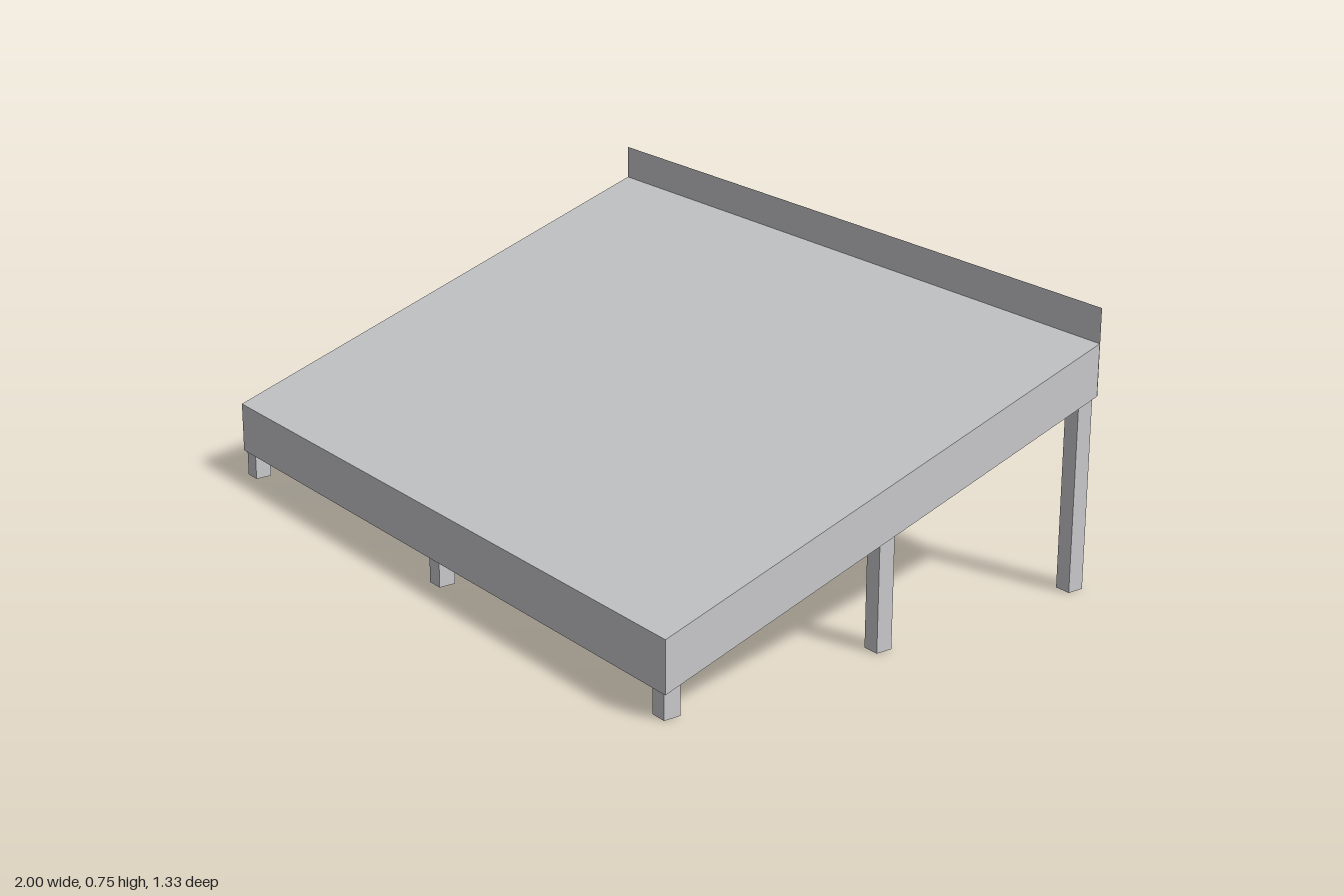
import * as THREE from 'three';

export function createModel() {
  const group = new THREE.Group();
  const grey = new THREE.MeshStandardMaterial({ color: 0xc9cacc });
  grey.name = 'light grey';
  const greySheet = new THREE.MeshStandardMaterial({ color: 0xc9cacc, side: THREE.DoubleSide });
  greySheet.name = 'light grey sheet';

  const halfDepth = 0.665, frontBottom = 0.07, backBottom = 0.52, thickness = 0.138;
  // height of the sloping underside at depth z
  const underside = z => THREE.MathUtils.mapLinear(z, halfDepth, -halfDepth, frontBottom, backBottom);

  const add = (name, geometry, material) => {
    const mesh = new THREE.Mesh(geometry, material);
    mesh.name = name;
    group.add(mesh);
    return mesh;
  };

  // sloping slab: side profile (shape x = -z) extruded across the width
  const profile = new THREE.Shape([
    new THREE.Vector2(-halfDepth, frontBottom),
    new THREE.Vector2(halfDepth, backBottom),
    new THREE.Vector2(halfDepth, backBottom + thickness),
    new THREE.Vector2(-halfDepth, frontBottom + thickness),
  ]);
  const slab = new THREE.ExtrudeGeometry(profile, { depth: 2, bevelEnabled: false });
  slab.translate(0, 0, -1).rotateY(Math.PI / 2);
  add('slopingSlab', slab, grey);

  // thin upright sheet along the high back edge
  const top = 0.75;
  const sheet = new THREE.PlaneGeometry(2, top - backBottom);
  add('backSheet', sheet, greySheet).position.set(0, (top + backBottom) / 2, -halfDepth - 0.001);

  // three by three hollow square posts, cut to the slope at the top
  const postSize = 0.046;
  for (const x of [-0.966, 0, 0.966]) {
    for (const z of [0.637, 0, -0.637]) {
      const post = new THREE.CylinderGeometry(postSize / Math.SQRT2, postSize / Math.SQRT2, 1, 4, 1, true)
        .rotateY(Math.PI / 4).translate(x, 0.5, z).toNonIndexed();
      const p = post.attributes.position;
      for (let i = 0; i < p.count; i++) {
        if (p.getY(i) > 0.5) p.setY(i, underside(p.getZ(i)));
      }
      post.computeVertexNormals();
      add('supportPost', post, greySheet);
    }
  }
  return group;
}
